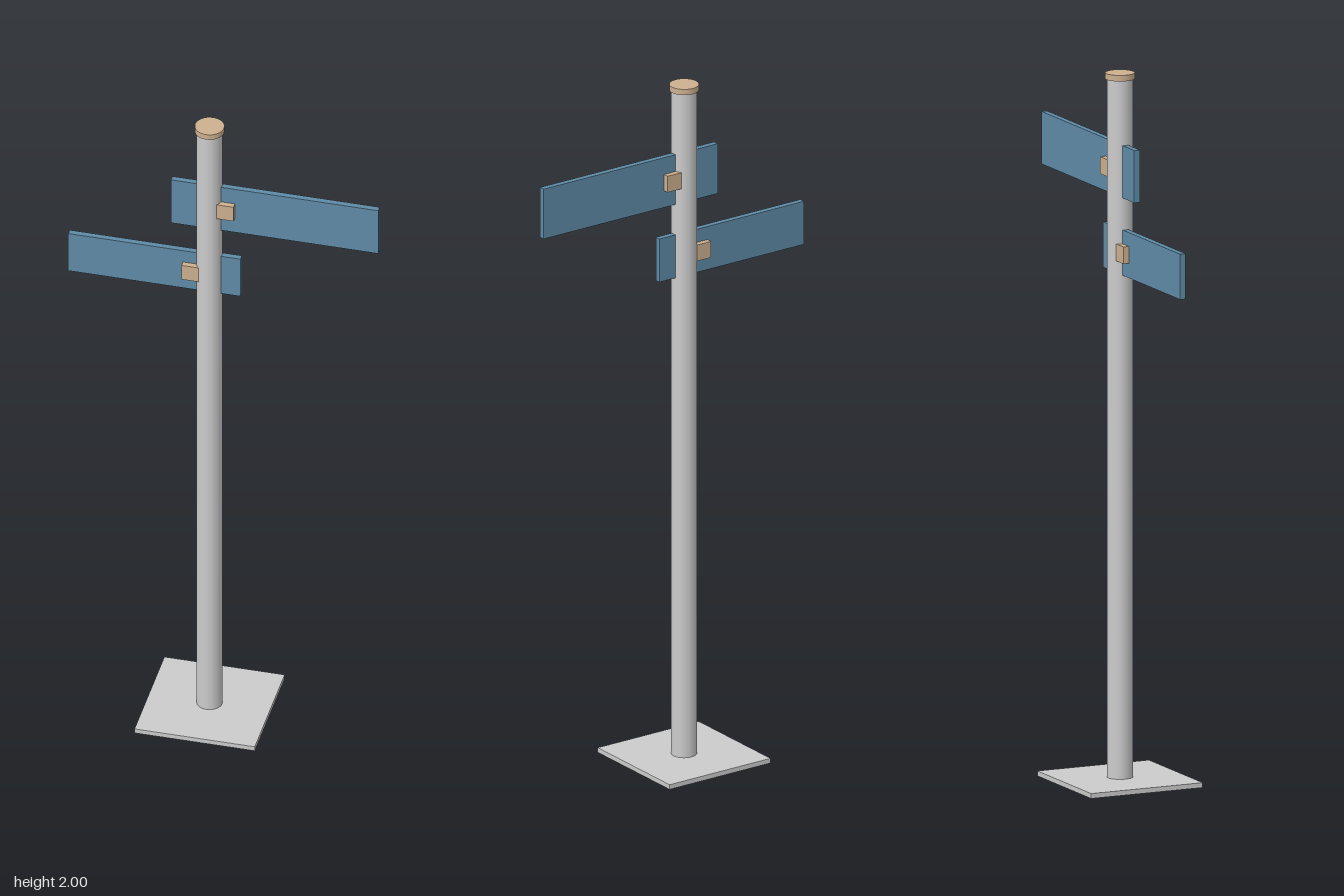
import * as THREE from 'three';

const steel = new THREE.MeshStandardMaterial({ color: 0xcccccc });
const blue = new THREE.MeshStandardMaterial({ color: 0x5f8ba6 });
const tan = new THREE.MeshStandardMaterial({ color: 0xcdb08f });

const POLE_X = -0.041;

export function createModel() {
  const group = new THREE.Group();

  const add = (name, geometry, material, x, y) => {
    const mesh = new THREE.Mesh(geometry, material);
    mesh.name = name;
    mesh.position.set(x, y, 0);
    group.add(mesh);
  };
  // Box given by its x and y limits, centred on z = 0
  const slab = (name, material, x0, x1, y0, y1, depth) =>
    add(name, new THREE.BoxGeometry(x1 - x0, y1 - y0, depth), material, (x0 + x1) / 2, (y0 + y1) / 2);

  // Square foot plate, round pole and its cap
  slab('basePlate', steel, POLE_X - 0.171, POLE_X + 0.171, 0, 0.014, 0.342);
  add('pole', new THREE.CylinderGeometry(0.036, 0.036, 1.975, 32), steel, POLE_X, 0.9995);
  add('poleCap', new THREE.CylinderGeometry(0.041, 0.041, 0.017, 32), tan, POLE_X, 1.9915);

  // Two blades pointing opposite ways, each held by a clamp block
  slab('upperSign', blue, -0.149, 0.441, 1.653, 1.801, 0.017);
  slab('upperClamp', tan, -0.016, 0.033, 1.703, 1.751, 0.05);
  slab('lowerSign', blue, -0.441, 0.049, 1.435, 1.563, 0.017);
  slab('lowerClamp', tan, -0.115, -0.066, 1.476, 1.524, 0.05);

  return group;
}
